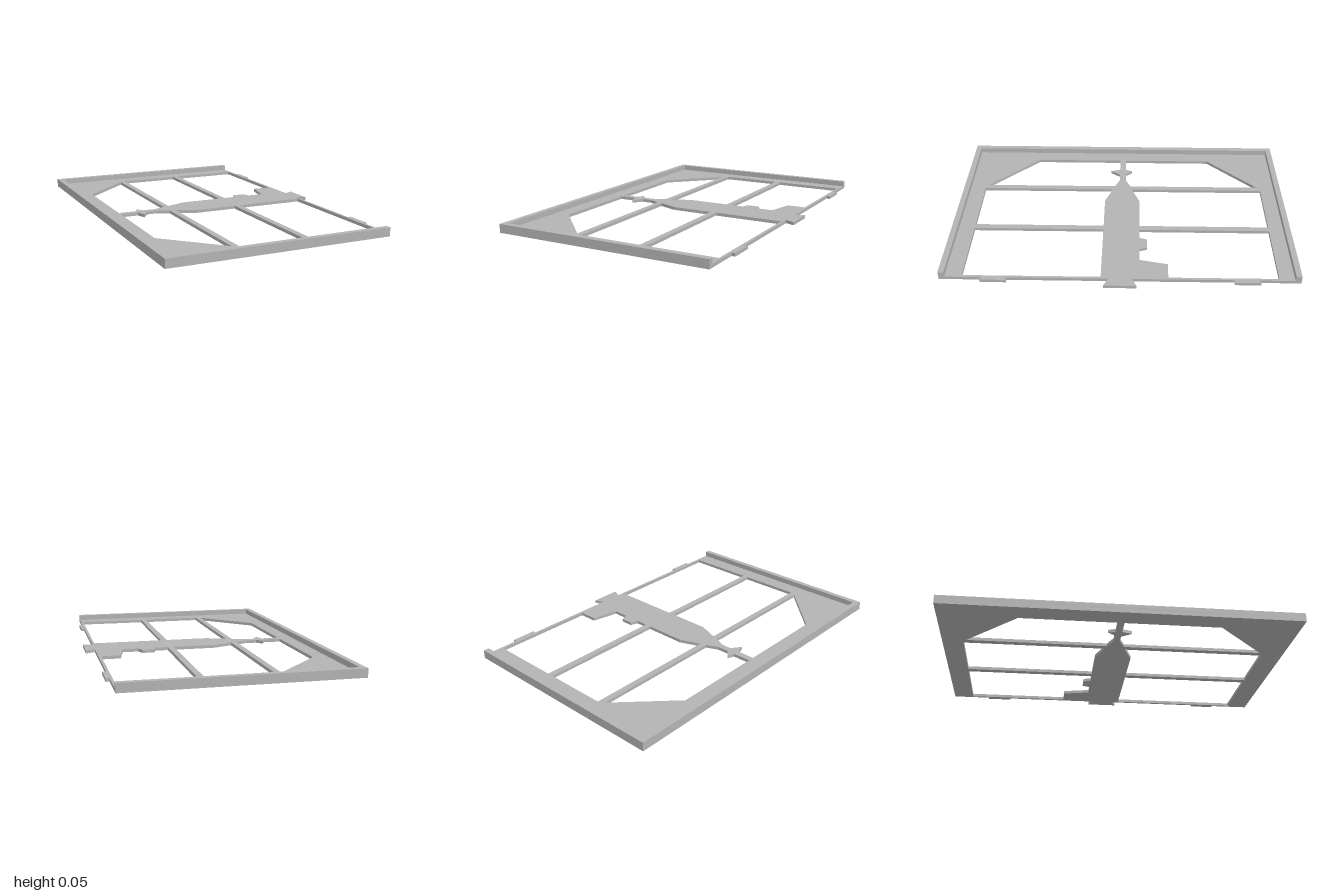
import * as THREE from 'three';

const PLATE = 0.018; // thickness of the flat plate
const HEIGHT = 0.05; // full height at the rim

// Extrudes a plan drawn in (x, z) upwards from y0 to y1.
function slab(name, outline, holes, y0, y1, material) {
  const toPoints = (list) => list.map(([x, z]) => new THREE.Vector2(x, z));
  const shape = new THREE.Shape(toPoints(outline));
  shape.holes = holes.map((h) => new THREE.Path(toPoints(h)));
  const geometry = new THREE.ExtrudeGeometry(shape, { depth: y1 - y0, bevelEnabled: false });
  geometry.rotateX(Math.PI / 2).translate(0, y1, 0);
  const mesh = new THREE.Mesh(geometry, material);
  mesh.name = name;
  return mesh;
}

export function createModel() {
  const grey = new THREE.MeshStandardMaterial({ color: 0xb3b3b3 });
  grey.name = 'grey';
  const model = new THREE.Group();
  model.name = 'framePanel';

  // Plate outline, with two small tabs and a flared middle tab on the right edge
  const outline = [
    [-0.67, -1], [0.615, -1],
    [0.615, -0.77], [0.635, -0.778], [0.635, -0.63], [0.615, -0.635],
    [0.615, -0.068], [0.67, -0.095], [0.67, 0.088], [0.615, 0.063],
    [0.615, 0.628], [0.635, 0.622], [0.635, 0.77], [0.615, 0.765],
    [0.615, 1], [-0.67, 1],
  ];

  // Openings that leave the crossbars and the shaped centre bar
  const holes = [
    // back left, chamfered corner
    [[-0.55, -0.565], [-0.255, -0.862], [-0.255, -0.053], [-0.325, -0.022],
      [-0.395, -0.022], [-0.426, -0.063], [-0.443, -0.022], [-0.55, -0.022]],
    // back middle
    [[-0.22, -0.88], [0.15, -0.88], [0.15, -0.11], [-0.1, -0.11], [-0.22, -0.063]],
    // back right, around the raised steps of the centre bar
    [[0.186, -0.88], [0.6, -0.88], [0.6, -0.27], [0.49, -0.27], [0.456, -0.11],
      [0.362, -0.11], [0.347, -0.155], [0.275, -0.155], [0.26, -0.11], [0.186, -0.11]],
    // front left, chamfered corner
    [[-0.55, 0.56], [-0.255, 0.857], [-0.255, 0.046], [-0.325, 0.015],
      [-0.385, 0.015], [-0.426, 0.073], [-0.443, 0.015], [-0.55, 0.015]],
    // front middle
    [[-0.22, 0.873], [0.15, 0.873], [0.15, 0.104], [-0.1, 0.104], [-0.22, 0.057]],
    // front right
    [[0.186, 0.873], [0.6, 0.873], [0.6, 0.104], [0.186, 0.104]],
  ];
  model.add(slab('plate', outline, holes, 0, PLATE, grey));

  // Raised lip along three sides, open on the right
  const lip = [
    [-0.67, -1], [0.615, -1], [0.615, -0.967], [-0.637, -0.967],
    [-0.637, 0.967], [0.615, 0.967], [0.615, 1], [-0.67, 1],
  ];
  model.add(slab('rim', lip, [], PLATE, HEIGHT, grey));

  return model;
}
